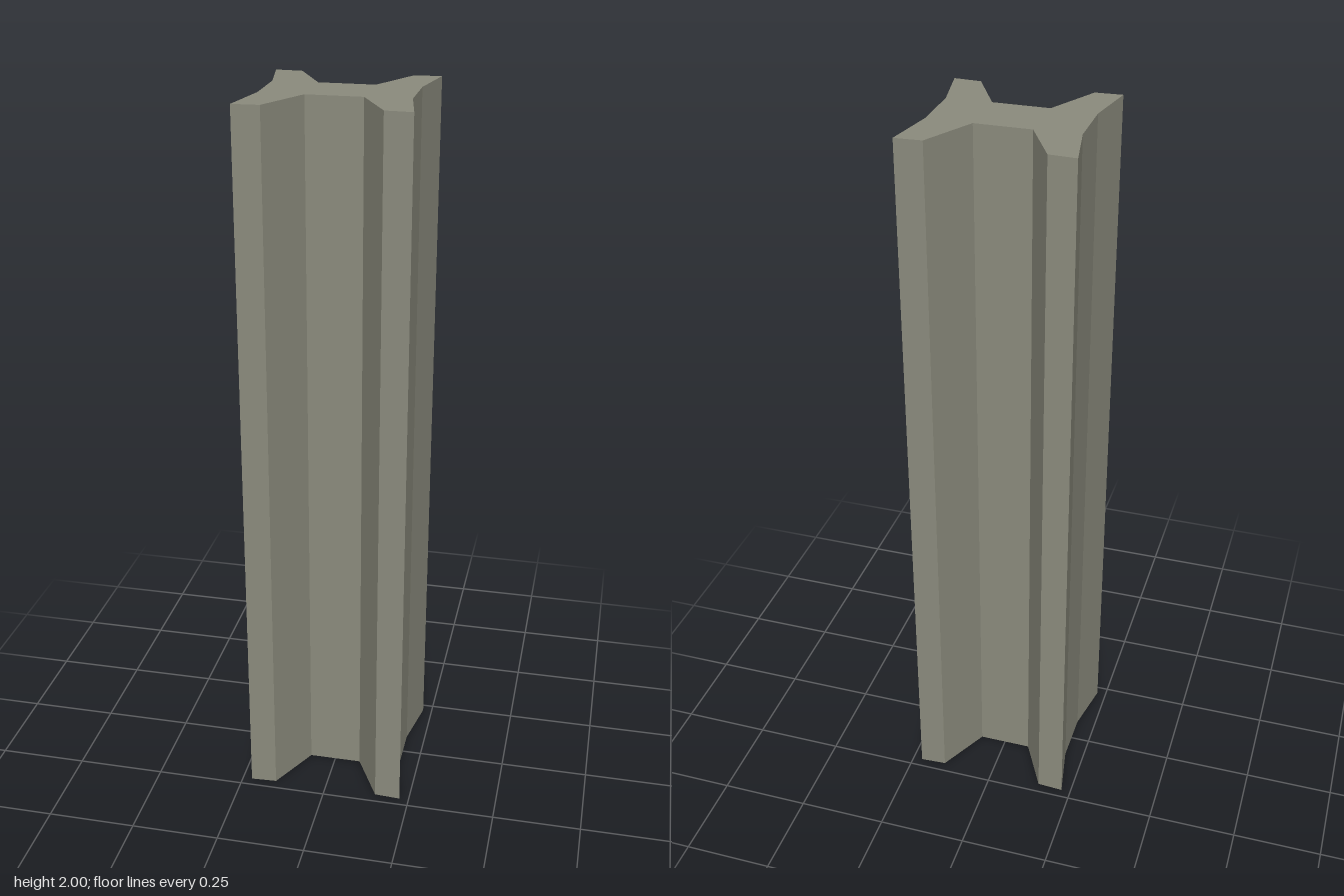
import * as THREE from 'three';

const HEIGHT = 2;

export function createModel() {
  const group = new THREE.Group();
  group.name = 'beam';

  const greyMetal = new THREE.MeshStandardMaterial({ color: 0x8a8a7c });
  greyMetal.name = 'warm grey metal';

  // One quarter of the cross-section, from the web to the flange side
  const quarter = [[0.075, 0.077], [0.15, 0.22], [0.223, 0.224], [0.195, 0.074]];
  const mirror = (sx, sy) => quarter.map(([x, y]) => new THREE.Vector2(x * sx, y * sy));

  // Four mirrored quarters joined counter-clockwise
  const profile = new THREE.Shape([
    ...mirror(1, 1).reverse(),
    ...mirror(-1, 1),
    ...mirror(-1, -1).reverse(),
    ...mirror(1, -1),
  ]);

  // Extruded upward, standing on the ground
  const geometry = new THREE.ExtrudeGeometry(profile, { depth: HEIGHT, bevelEnabled: false });
  geometry.rotateX(-Math.PI / 2);

  const beam = new THREE.Mesh(geometry, greyMetal);
  beam.name = 'flaredBeam';
  group.add(beam);
  return group;
}
